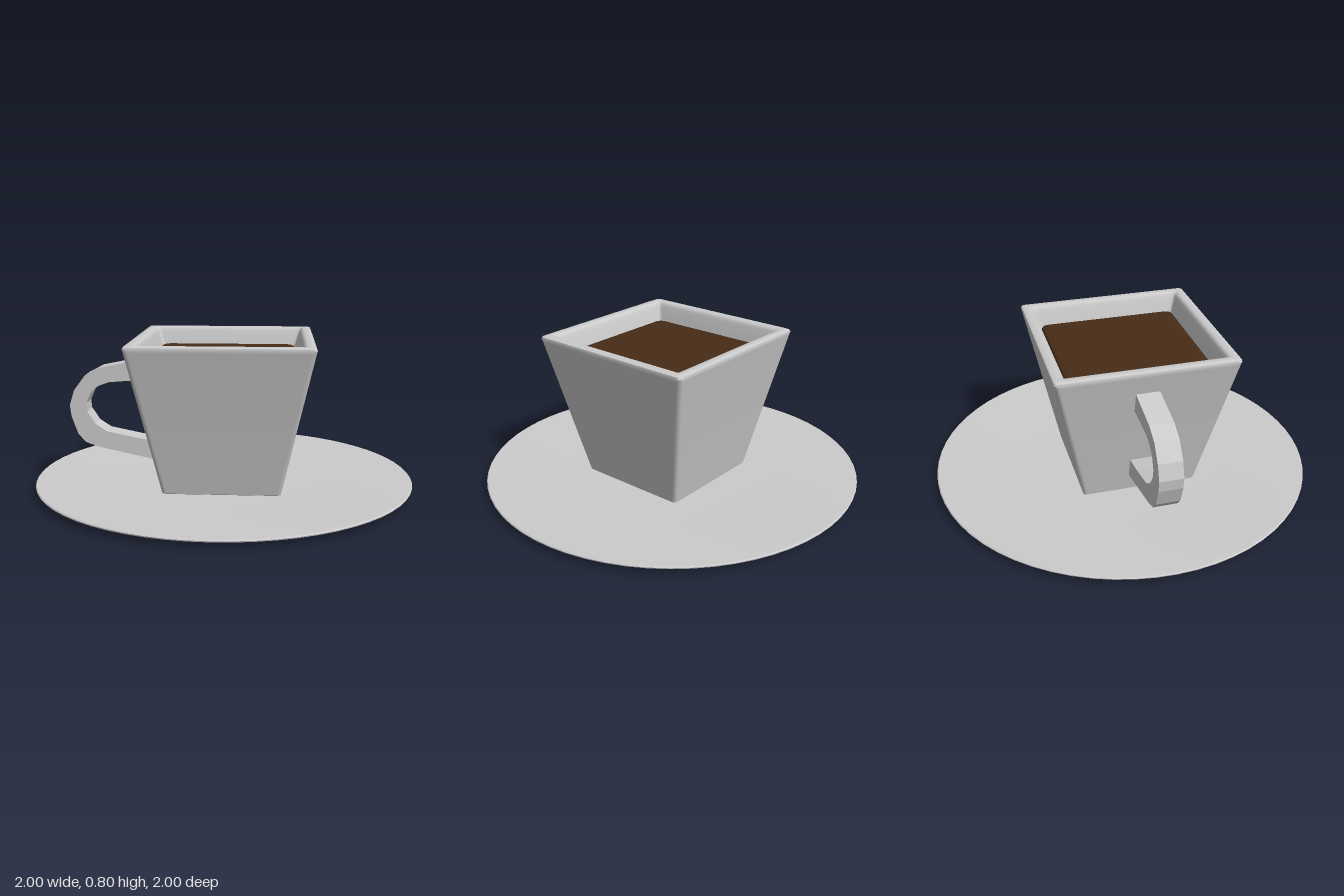
import * as THREE from 'three';
import { toCreasedNormals } from 'three/addons/utils/BufferGeometryUtils.js';

const grey = new THREE.MeshStandardMaterial({ color: 0xcccccc });
const brown = new THREE.MeshStandardMaterial({ color: 0x472c17 });
const CORNER_STEPS = 5;

// Outline of a rounded square; extra points beside each corner keep the sides flat-shaded.
function roundedSquare(half, radius, y) {
  const points = [];
  const inner = half - radius;
  const support = Math.min(0.01, inner);
  for (let c = 0; c < 4; c++) {
    const start = c * Math.PI / 2;
    const mid = start + Math.PI / 4;
    const cx = Math.sign(Math.cos(mid)) * inner;
    const cz = Math.sign(Math.sin(mid)) * inner;
    for (let i = -1; i <= CORNER_STEPS + 1; i++) {
      const t = Math.min(Math.max(i / CORNER_STEPS, 0), 1);
      const a = start + t * Math.PI / 2;
      const slide = i < 0 ? -support : i > CORNER_STEPS ? support : 0;
      points.push([
        cx + radius * Math.cos(a) - slide * Math.sin(a), y,
        cz + radius * Math.sin(a) + slide * Math.cos(a),
      ]);
    }
  }
  return points;
}

// Skin through rounded squares given as [half width, corner radius, height].
function loftSquares(rows) {
  const rings = rows.map(([half, radius, y]) => roundedSquare(half, radius, y));
  const n = rings[0].length;
  const index = [];
  for (let r = 0; r < rings.length - 1; r++) {
    for (let i = 0; i < n; i++) {
      const a = r * n + i, b = r * n + (i + 1) % n;
      index.push(a, a + n, b, b, a + n, b + n);
    }
  }
  const geometry = new THREE.BufferGeometry();
  geometry.setAttribute('position', new THREE.Float32BufferAttribute(rings.flat(2), 3));
  geometry.setIndex(index);
  return toCreasedNormals(geometry, 0.7);
}

function addMesh(parent, name, geometry, material) {
  const mesh = new THREE.Mesh(geometry, material);
  mesh.name = name;
  parent.add(mesh);
  return mesh;
}

export function createModel() {
  const model = new THREE.Group();
  model.name = 'cupAndSaucer';

  // Shallow round saucer
  const profile = [
    [0, 0], [0.55, 0], [0.98, 0.028], [0.998, 0.033], [1, 0.039],
    [0.995, 0.044], [0.98, 0.044], [0.58, 0.025], [0, 0.025],
  ].map(([r, y]) => new THREE.Vector2(r, y));
  addMesh(model, 'saucer', toCreasedNormals(new THREE.LatheGeometry(profile, 64), 0.5), grey);

  const cup = new THREE.Group();
  cup.name = 'cup';
  cup.position.set(0.005, 0, 0.026);
  model.add(cup);

  // Square tapered body: base, outer wall, rounded rim, inner wall, floor
  addMesh(cup, 'cupBody', loftSquares([
    [0, 0, 0.024], [0.29, 0.015, 0.024], [0.302, 0.018, 0.03], [0.305, 0.018, 0.045],
    [0.459, 0.02, 0.77], [0.463, 0.02, 0.785], [0.46, 0.02, 0.795], [0.45, 0.018, 0.8],
    [0.42, 0.015, 0.8], [0.409, 0.012, 0.795], [0.403, 0.012, 0.785],
    [0.398, 0.012, 0.77], [0.376, 0.012, 0.7], [0.255, 0.012, 0.1], [0, 0, 0.1],
  ]), grey);

  // Drink with softly rounded edges
  addMesh(cup, 'coffee', loftSquares([
    [0, 0, 0.66], [0.345, 0.03, 0.66], [0.362, 0.035, 0.675], [0.371, 0.035, 0.694],
    [0.367, 0.035, 0.704], [0.355, 0.035, 0.71], [0.34, 0.03, 0.71], [0, 0, 0.71],
  ]), brown);

  // Faceted loop handle
  const outline = [
    [-0.41, 0.68], [-0.65, 0.632], [-0.73, 0.59], [-0.79, 0.51], [-0.815, 0.43],
    [-0.808, 0.37], [-0.775, 0.275], [-0.735, 0.23], [-0.67, 0.206], [-0.31, 0.128],
    [-0.32, 0.235], [-0.45, 0.255], [-0.62, 0.29], [-0.68, 0.33], [-0.722, 0.395],
    [-0.726, 0.44], [-0.7, 0.5], [-0.66, 0.535], [-0.6, 0.556], [-0.39, 0.573],
  ].map(([x, y]) => new THREE.Vector2(x, y));
  const handle = addMesh(model, 'handle', new THREE.ExtrudeGeometry(
    new THREE.Shape(outline), { depth: 0.12, bevelEnabled: false }), grey);
  handle.position.z = -0.04;

  return model;
}
